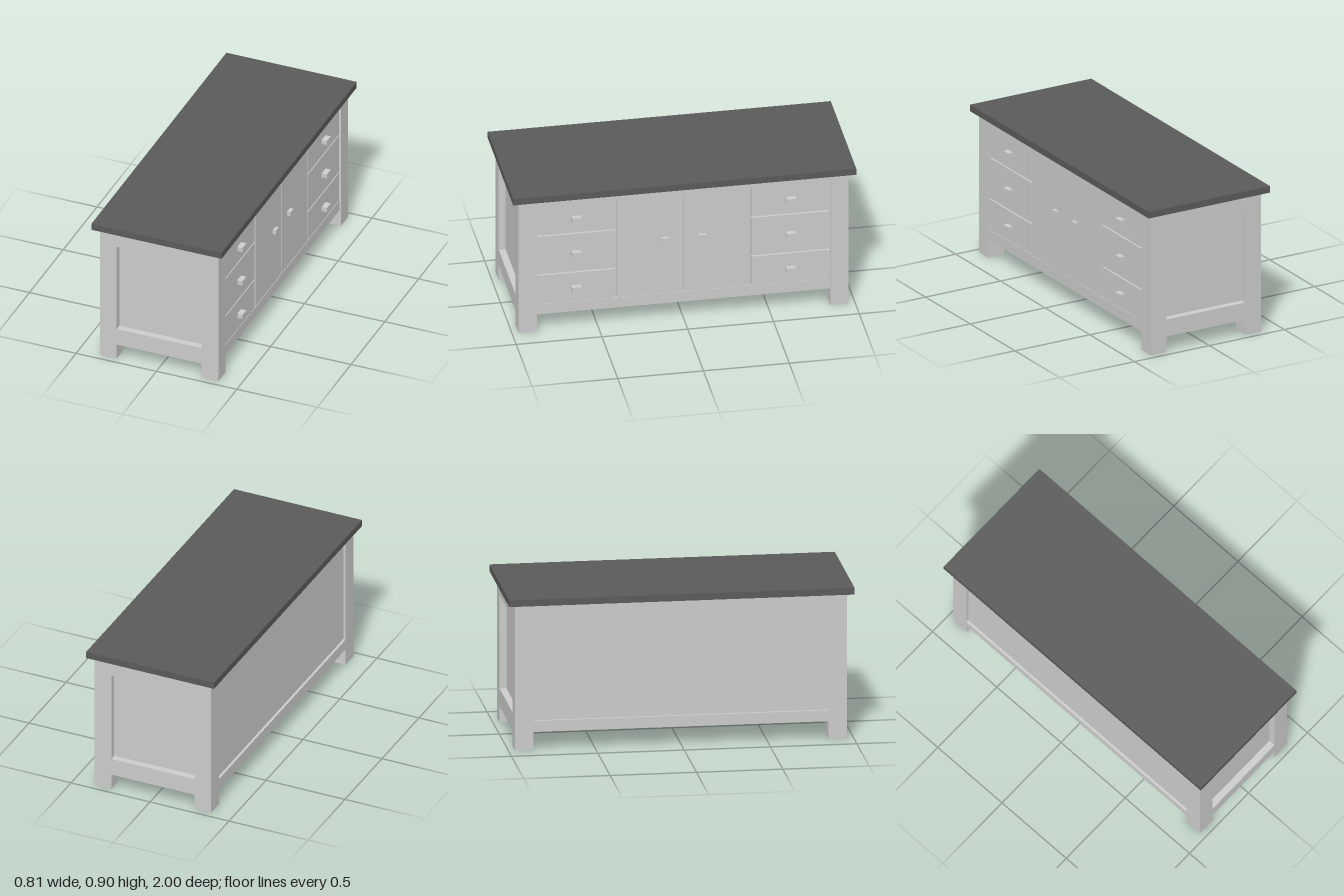
import * as THREE from 'three';

export function createModel() {
  const model = new THREE.Group();
  const grey = new THREE.MeshStandardMaterial({ color: 0xcccccc });
  const dark = new THREE.MeshStandardMaterial({ color: 0x5a5a5a });

  // Box given by its lower and upper limits on each axis
  function box(name, [x0, x1], [y0, y1], [z0, z1], material = grey) {
    const mesh = new THREE.Mesh(new THREE.BoxGeometry(x1 - x0, y1 - y0, z1 - z0), material);
    mesh.position.set((x0 + x1) / 2, (y0 + y1) / 2, (z0 + z1) / 2);
    mesh.name = name;
    model.add(mesh);
  }
  // Range between two values mirrored to either side
  const side = (s, a, b) => (s > 0 ? [a, b] : [-b, -a]);

  box('worktop', [-0.405, 0.405], [0.86, 0.9], [-1, 1], dark);
  box('carcass', [-0.355, 0.335], [0.107, 0.86], [-0.856, 0.856]);

  // Corner legs, end rails and recessed end panels
  for (const s of [1, -1]) {
    for (const t of [1, -1]) box('leg', side(t, 0.263, 0.3685), [0, 0.86], side(s, 0.855, 0.962));
    box('endBottomRail', [-0.263, 0.263], [0.095, 0.2], side(s, 0.855, 0.962));
    box('endTopRail', [-0.263, 0.263], [0.757, 0.86], side(s, 0.855, 0.962));
    box('endPanel', [-0.263, 0.263], [0.2, 0.757], side(s, 0.855, 0.922));
  }

  // Long rails above and below the recessed back panel and the drawer side
  for (const [y0, y1] of [[0.105, 0.17], [0.81, 0.86]]) {
    box('backRail', [-0.37, -0.355], [y0, y1], [-0.855, 0.855]);
    box('cabinetRail', [0.335, 0.36], [y0, y1], [-0.855, 0.855]);
  }

  // Three drawers at each end and a pair of doors between, with narrow gaps
  const drawerRows = [[0.17, 0.357, 0.261], [0.365, 0.611, 0.489], [0.619, 0.81, 0.715]];
  for (const s of [1, -1]) {
    for (const [y0, y1, knobY] of drawerRows) {
      box('drawerFront', [0.335, 0.357], [y0, y1], side(s, 0.397, 0.855));
      box('drawerKnob', [0.35, 0.39], [knobY - 0.014, knobY + 0.014], side(s, 0.597, 0.653));
    }
    box('door', [0.335, 0.357], [0.17, 0.81], side(s, 0.005, 0.385));
    box('doorKnob', [0.35, 0.378], [0.513, 0.539], side(s, 0.086, 0.13));
  }

  return model;
}
